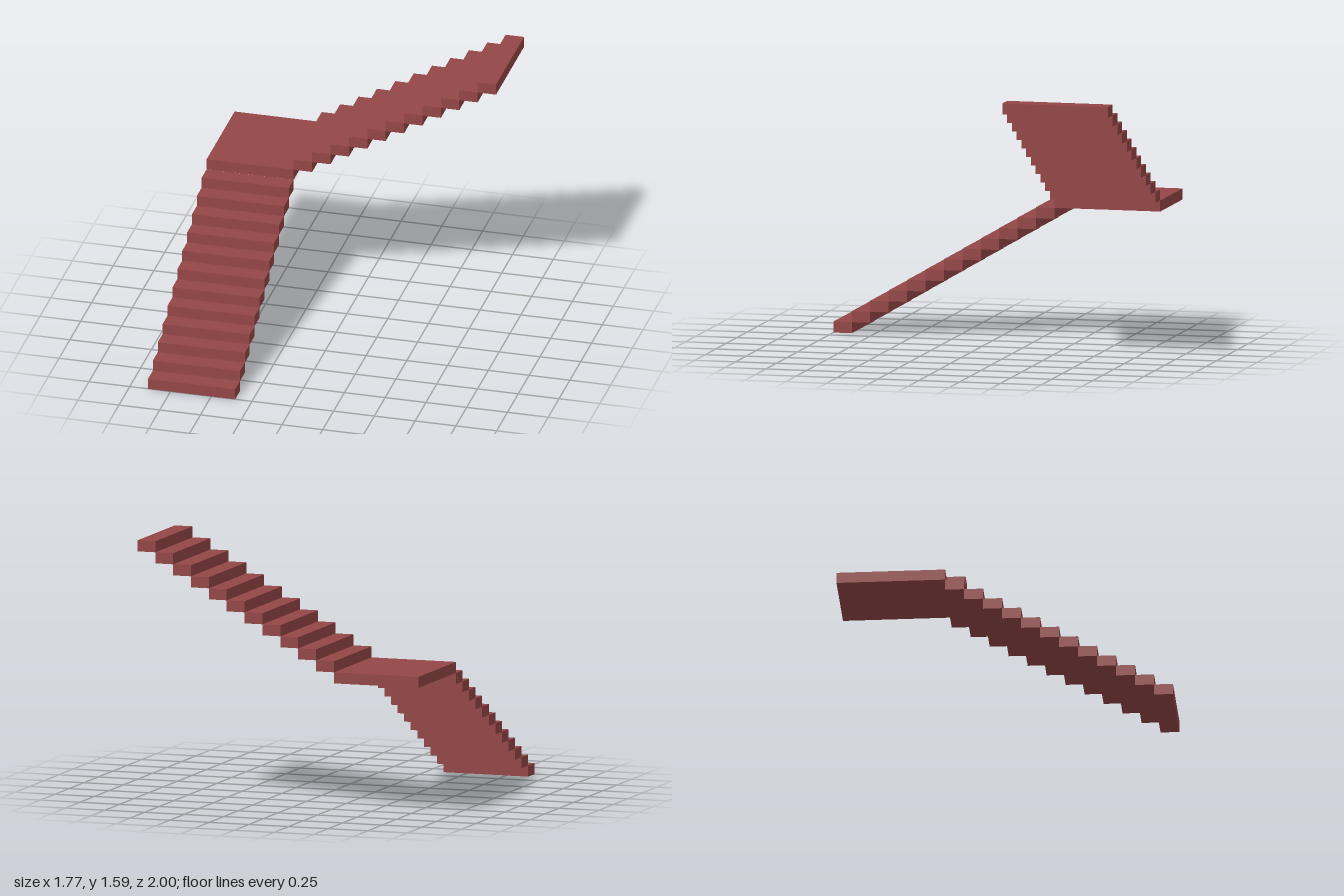
import * as THREE from 'three';

export function createModel() {
  const group = new THREE.Group();
  group.name = 'staircase';
  const brick = new THREE.MeshStandardMaterial({ color: 0x944646 });
  brick.name = 'brick red';

  const rise = 1.588 / 24, run = 0.1128;
  const left = -0.888, inner = -0.354; // lower flight edges in x
  const back = -1, corner = -0.354;    // landing edges in z
  const lowerCount = 12, upperCount = 11;

  // Box spanning x0..x1 and z0..z1, resting at the given level
  function slab(name, x0, x1, z0, z1, level) {
    const mesh = new THREE.Mesh(new THREE.BoxGeometry(x1 - x0, rise, z1 - z0), brick);
    mesh.position.set((x0 + x1) / 2, (level + 0.5) * rise, (z0 + z1) / 2);
    mesh.name = name;
    return mesh;
  }

  // Lower flight climbs from the front towards the back
  const lowerFlight = new THREE.Group();
  lowerFlight.name = 'lowerFlight';
  for (let i = 0; i < lowerCount; i++) {
    const z = 1 - i * run;
    lowerFlight.add(slab(`lowerStep${i + 1}`, left, inner, z - run, z, i));
  }

  // Corner landing
  const landing = slab('landing', left, inner, back, corner, lowerCount);

  // Upper flight climbs sideways from the landing
  const upperFlight = new THREE.Group();
  upperFlight.name = 'upperFlight';
  for (let i = 0; i < upperCount; i++) {
    const x = inner + i * run;
    upperFlight.add(slab(`upperStep${i + 1}`, x, x + run, back, corner, lowerCount + 1 + i));
  }

  group.add(lowerFlight, landing, upperFlight);
  return group;
}
